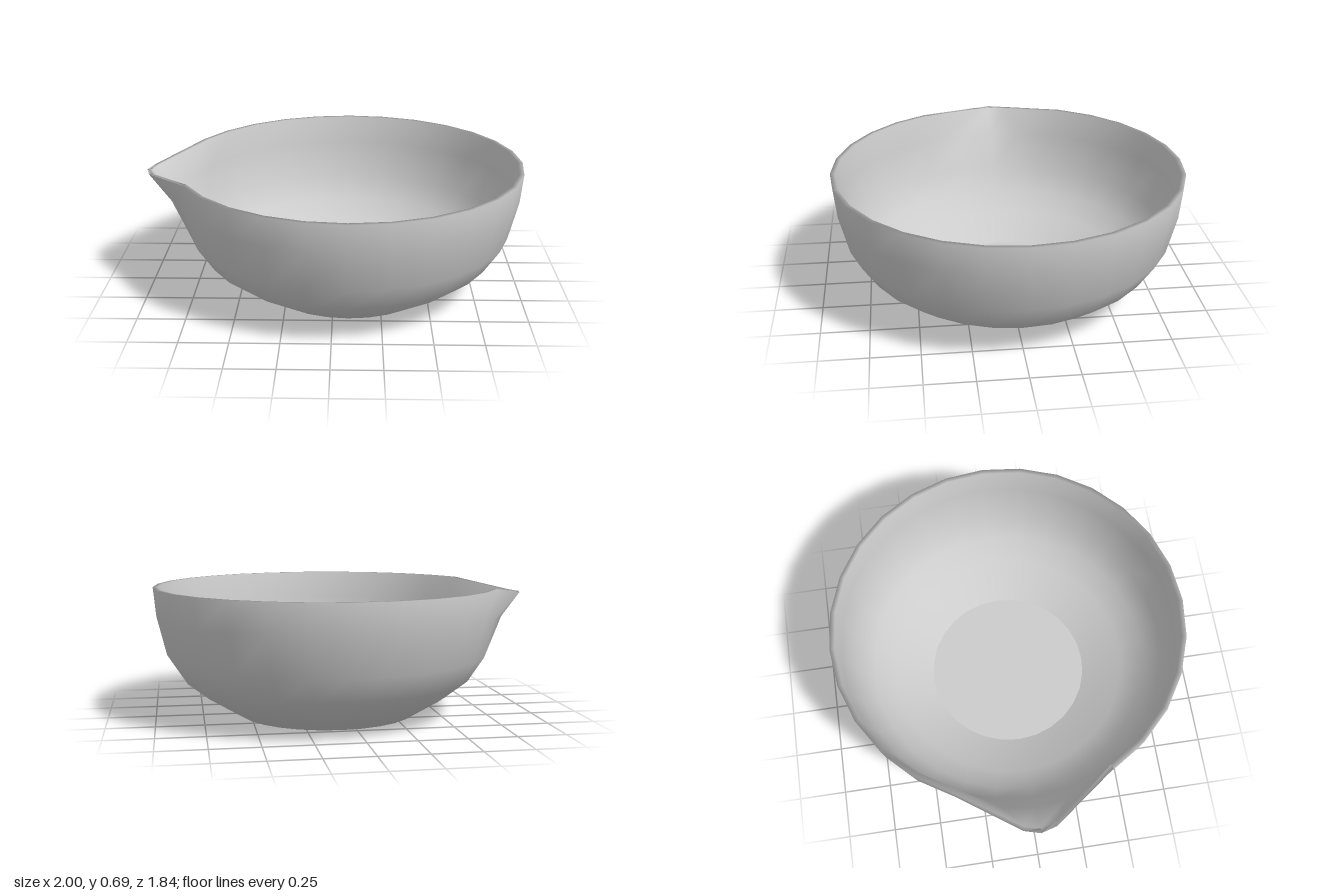
import * as THREE from 'three';

const SIDES = 28;
const CENTRE_X = 0.08;

// Wall section [radius, height, spout pull]: up the outside, over the lip, down the inside
const SECTION = [
  [0.175, 0, 0], [0.475, 0, 0], [0.655, 0.11, 0], [0.77, 0.2, 0], [0.855, 0.33, 0],
  [0.905, 0.535, 0.28], [0.92, 0.69, 1],
  [0.895, 0.69, 1],
  [0.882, 0.535, 0.28], [0.833, 0.335, 0], [0.75, 0.212, 0], [0.637, 0.123, 0], [0.43, 0.02, 0],
];

// Rings of the section; the three points around -x are drawn out into the spout
function wallGeometry() {
  const positions = [], indices = [];
  for (const [r, y, pull] of SECTION) {
    for (let k = 0; k < SIDES; k++) {
      const a = (k / SIDES) * Math.PI * 2;
      const w = Math.abs(k - SIDES / 2) <= 1 ? pull : 0;
      positions.push(
        CENTRE_X + r * Math.cos(a) - 0.16 * w,
        y - 0.05 * w,
        r * Math.sin(a) * (1 - 0.6 * w),
      );
    }
  }
  for (let i = 0; i < SECTION.length - 1; i++) {
    for (let k = 0; k < SIDES; k++) {
      const n = (k + 1) % SIDES;
      const a = i * SIDES + k, b = i * SIDES + n;
      const c = a + SIDES, d = b + SIDES;
      indices.push(a, c, b, c, d, b);
    }
  }
  const geometry = new THREE.BufferGeometry();
  geometry.setAttribute('position', new THREE.Float32BufferAttribute(positions, 3));
  geometry.setIndex(indices);
  geometry.computeVertexNormals();
  return geometry;
}

export function createModel() {
  const group = new THREE.Group();
  group.name = 'pouringBowl';
  const material = new THREE.MeshStandardMaterial({ color: 0xcccccc });

  const add = (name, geometry) => {
    const mesh = new THREE.Mesh(geometry, material);
    mesh.name = name;
    group.add(mesh);
    return mesh;
  };

  add('bowlWall', wallGeometry());

  // Flat floor inside and flat disc underneath
  const floor = add('innerFloor', new THREE.CircleGeometry(0.43, SIDES).rotateX(-Math.PI / 2));
  floor.position.set(CENTRE_X, 0.02, 0);
  const base = add('baseDisc', new THREE.CircleGeometry(0.175, SIDES).rotateX(Math.PI / 2));
  base.position.set(CENTRE_X, 0, 0);

  return group;
}
